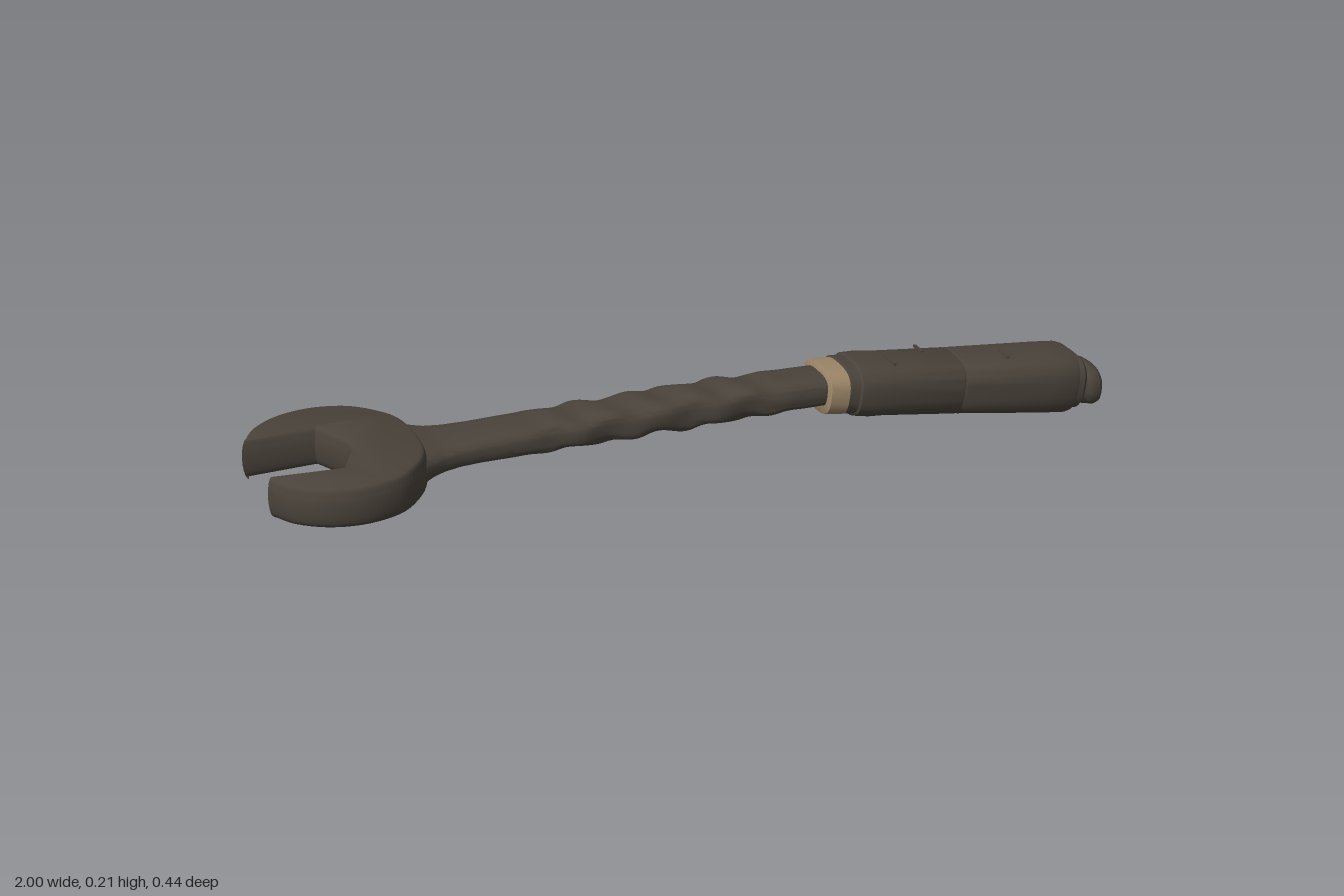
import * as THREE from 'three';
import { toCreasedNormals } from 'three/addons/utils/BufferGeometryUtils.js';

const SIDES = 40;

// Loft of rounded-square sections along x: [x, centre y, half height, half depth]
function loft(sections, { power = 2.8, lean = 0, ripple = () => 0, crease = 0.6 } = {}) {
  const pos = [], index = [], last = sections.length - 1;
  const round = v => Math.sign(v) * Math.pow(Math.abs(v), 2 / power);
  for (const [x, y, hy, hz] of sections) {
    for (let j = 0; j < SIDES; j++) {
      const a = (j / SIDES) * Math.PI * 2;
      const s = 1 + ripple(x, a);
      const dy = round(Math.sin(a)) * hy * s;
      pos.push(x + dy * lean, y + dy, round(Math.cos(a)) * hz * s);
    }
  }
  for (let i = 0; i < last; i++) {
    for (let j = 0; j < SIDES; j++) {
      const k = (j + 1) % SIDES, a = i * SIDES, b = a + SIDES;
      index.push(a + j, b + j, a + k, a + k, b + j, b + k);
    }
  }
  // End caps
  const c = pos.length / 3;
  pos.push(sections[0][0], sections[0][1], 0, sections[last][0], sections[last][1], 0);
  for (let j = 0; j < SIDES; j++) {
    const k = (j + 1) % SIDES;
    index.push(c, j, k, c + 1, last * SIDES + k, last * SIDES + j);
  }
  const geo = new THREE.BufferGeometry();
  geo.setAttribute('position', new THREE.Float32BufferAttribute(pos, 3));
  geo.setIndex(index);
  return toCreasedNormals(geo, crease);
}

// Resample a short table of sections into many even steps
function resample(keys, steps) {
  const out = [], x0 = keys[0][0], x1 = keys[keys.length - 1][0];
  for (let i = 0; i <= steps; i++) {
    const x = x0 + ((x1 - x0) * i) / steps;
    let k = 0;
    while (k < keys.length - 2 && x > keys[k + 1][0]) k++;
    const t = (x - keys[k][0]) / (keys[k + 1][0] - keys[k][0]);
    out.push(keys[k].map((v, n) => v + (keys[k + 1][n] - v) * t));
  }
  return out;
}

export function createModel() {
  const group = new THREE.Group();
  const iron = new THREE.MeshStandardMaterial({ color: 0x4a433b });
  iron.name = 'dark iron';
  const tan = new THREE.MeshStandardMaterial({ color: 0x9c8668 });
  tan.name = 'tan band';
  const add = (name, geo, mat = iron) => {
    const mesh = new THREE.Mesh(geo, mat);
    mesh.name = name;
    group.add(mesh);
    return mesh;
  };

  // Open jaw head, drawn in plan with bulging edges
  const half = [[-0.965, 0.158], [-0.9, 0.203], [-0.82, 0.218], [-0.74, 0.198], [-0.685, 0.15], [-0.65, 0.09]];
  const v = (x, y) => new THREE.Vector2(x, y);
  const shape = new THREE.Shape();
  shape.moveTo(-1, 0.1);
  shape.splineThru([
    ...half.map(p => v(p[0], p[1])),
    v(-0.64, 0),
    ...half.slice().reverse().map(p => v(p[0], -p[1])),
    v(-1, -0.1),
  ]);
  shape.lineTo(-0.84, -0.1);
  shape.lineTo(-0.8, -0.02);
  shape.lineTo(-0.8, 0.02);
  shape.lineTo(-0.84, 0.1);
  shape.closePath();
  const headGeo = new THREE.ExtrudeGeometry(shape, {
    depth: 0.002, curveSegments: 48, bevelEnabled: true,
    bevelThickness: 0.0435, bevelSize: 0.012, bevelOffset: -0.012, bevelSegments: 6,
  });
  headGeo.translate(0, 0, -0.001);
  headGeo.rotateX(Math.PI / 2);
  headGeo.translate(0, 0.1775, 0);
  add('jawHead', toCreasedNormals(headGeo, 0.6));

  // Shank with a flared neck and hammered, twisting dents
  const shankKeys = [
    [-0.72, 0.177, 0.038, 0.17], [-0.68, 0.177, 0.037, 0.135], [-0.645, 0.177, 0.033, 0.106],
    [-0.61, 0.176, 0.03, 0.086], [-0.57, 0.176, 0.03, 0.074], [-0.52, 0.176, 0.031, 0.068],
    [-0.3, 0.175, 0.036, 0.064], [0, 0.174, 0.04, 0.061], [0.2, 0.171, 0.037, 0.06], [0.31, 0.168, 0.035, 0.06],
  ];
  const dents = (x, a) => {
    const fade = THREE.MathUtils.smoothstep(x, -0.45, -0.3) * (1 - THREE.MathUtils.smoothstep(x, 0.1, 0.26));
    return fade * (0.07 * Math.sin(x * 58 + 2 * a) + 0.04 * Math.sin(x * 37 - 3 * a) - 0.02);
  };
  add('shank', loft(resample(shankKeys, 120), { power: 3.2, ripple: dents, crease: 0.5 }));

  // Band between shank and grip
  add('band', loft([
    [0.29, 0.166, 0.048, 0.07], [0.293, 0.166, 0.053, 0.076],
    [0.33, 0.161, 0.055, 0.077], [0.345, 0.16, 0.055, 0.077],
  ], { lean: 0.1 }), tan);

  // Grip, sloping down to the tail, with a worn collar and a shallow seam
  const slope = x => 0.161 - 0.137 * (x - 0.35);
  const gripKeys = [
    [0.335, 0.052, 0.074], [0.338, 0.056, 0.078], [0.362, 0.057, 0.079], [0.366, 0.062, 0.083],
    [0.4, 0.064, 0.086], [0.435, 0.063, 0.083], [0.618, 0.067, 0.084], [0.622, 0.065, 0.082],
    [0.627, 0.067, 0.084], [0.85, 0.073, 0.086], [0.905, 0.074, 0.084], [0.917, 0.071, 0.08],
  ].map(([x, hy, hz]) => [x, slope(x), hy, hz]);
  const wear = (x, a) => 0.01 * Math.sin(9 * x + 3 * a) * Math.sin(21 * x + a);
  add('grip', loft(gripKeys, { lean: 0.14, ripple: wear }));

  // Stepped ferrule and rounded tail knob
  add('ferrule', loft([
    [0.905, 0.082, 0.064, 0.076], [0.934, 0.079, 0.063, 0.076], [0.942, 0.078, 0.057, 0.07],
  ], { lean: 0.14 }));
  add('tailKnob', loft([
    [0.93, 0.073, 0.043, 0.058], [0.948, 0.07, 0.044, 0.06], [0.956, 0.069, 0.049, 0.069],
    [0.978, 0.064, 0.049, 0.071], [0.987, 0.062, 0.045, 0.066], [0.993, 0.061, 0.036, 0.054],
    [0.996, 0.061, 0.02, 0.03],
  ], { lean: 0.08, power: 2.5, crease: 0.8 }));

  // Small raised scars on the grip
  for (const [x, z, length] of [[0.45, 0.03, 0.05], [0.55, -0.03, 0.04], [0.74, 0.025, 0.045]]) {
    const scar = add('gripScar', new THREE.BoxGeometry(0.006, 0.006, length));
    scar.position.set(x + 0.008, slope(x) + 0.064 + (x - 0.4) * 0.018, z);
    scar.rotation.z = -0.13;
  }
  return group;
}
